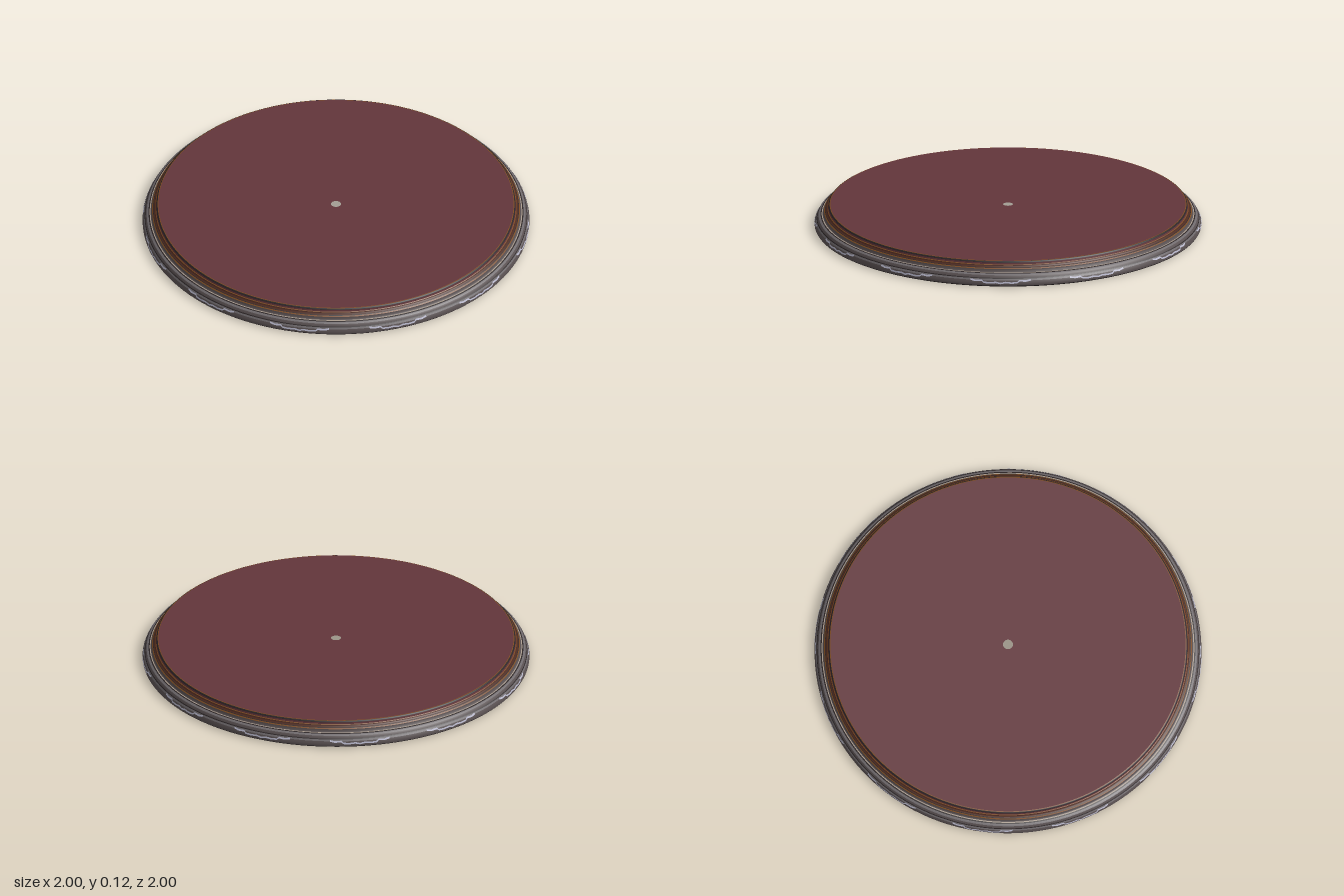
import * as THREE from 'three';

const mat = (name, color) => {
  const m = new THREE.MeshStandardMaterial({ color, side: THREE.DoubleSide });
  m.name = name;
  return m;
};

export function createModel() {
  const model = new THREE.Group();
  model.name = 'roundBase';
  const red = mat('oxblood', 0x62353b);
  const grey = mat('warmGrey', 0x5a5152);
  const lightGrey = mat('lightGrey', 0x6f6a6d);
  const dark = mat('charcoal', 0x2c2526);
  const brown = mat('darkBrown', 0x4e2a20);
  const amber = mat('amber', 0x7c4a20);
  const tan = mat('paleTan', 0xa89a8c);
  const silver = mat('silver', 0xb8b8cc);
  const SEG = 128;

  const add = (name, geometry, material, parent = model) => {
    const mesh = new THREE.Mesh(geometry, material);
    mesh.name = name;
    parent.add(mesh);
    return mesh;
  };
  const lathe = (points) =>
    new THREE.LatheGeometry(points.map(([r, y]) => new THREE.Vector2(r, y)), SEG);

  // Stepped rim: each band is a turned section with its own colour
  const bands = [
    ['footEdge', dark, [[0.985, 0], [0.994, 0.004], [0.997, 0.008]]],
    ['lowerRim', grey, [[0.997, 0.008], [0.998, 0.015], [0.996, 0.025], [0.992, 0.034]]],
    ['lowerHighlight', lightGrey, [[0.992, 0.034], [0.987, 0.042]]],
    ['rimGroove', dark, [[0.987, 0.042], [0.984, 0.046]]],
    ['upperRim', grey, [[0.984, 0.046], [0.981, 0.053], [0.977, 0.058]]],
    ['upperHighlight', lightGrey, [[0.977, 0.058], [0.972, 0.062], [0.967, 0.064]]],
    ['rimShoulder', dark, [[0.967, 0.064], [0.961, 0.066]]],
    ['paleLine', tan, [[0.961, 0.066], [0.956, 0.067]]],
    ['lowerRiser', grey, [[0.956, 0.067], [0.951, 0.07], [0.949, 0.082]]],
    ['lowerTread', amber, [[0.949, 0.082], [0.944, 0.086]]],
    ['lowerGroove', dark, [[0.944, 0.086], [0.941, 0.088]]],
    ['middleStep', brown, [[0.941, 0.088], [0.934, 0.091], [0.932, 0.098]]],
    ['middleTread', amber, [[0.932, 0.098], [0.928, 0.101]]],
    ['upperStep', red, [[0.928, 0.101], [0.926, 0.109]]],
    ['topGroove', dark, [[0.926, 0.109], [0.924, 0.114], [0.92, 0.116]]],
    ['topEdgeLine', amber, [[0.92, 0.116], [0.916, 0.117]]],
  ];
  const rim = new THREE.Group();
  rim.name = 'rim';
  model.add(rim);
  for (const [name, material, points] of bands) add(name, lathe(points), material, rim);

  // Top plate with the centre hole, open underneath
  add('topPlate', lathe([[0.916, 0.117], [0.026, 0.117]]), red);

  // Inner faces of the steps, seen from below: risers and darker treads
  const lining = [
    [0.958, 0.063], [0.945, 0.068], [0.941, 0.083], [0.928, 0.087],
    [0.922, 0.107], [0.908, 0.115],
  ];
  for (let i = 1; i < lining.length; i++) add('innerLining', lathe(lining.slice(i - 1, i + 1)), red);

  // Rim radius at a height, for seating the inlays
  const wall = bands.slice(0, 6).flatMap((b) => b[2]);
  const rimRadius = (y) => {
    const i = wall.findIndex((p) => p[1] >= y);
    const [r0, y0] = wall[i - 1], [r1, y1] = wall[i];
    return r0 + (r1 - r0) * (y - y0) / (y1 - y0);
  };

  // One thin bracket-shaped inlay: [angle in degrees, height of its middle]
  const path = [
    [-9, 0.037], [-7.5, 0.032], [-5.6, 0.034], [-5, 0.025], [-3.2, 0.023],
    [-1.4, 0.026], [0, 0.021], [1.4, 0.026], [3.2, 0.023], [5, 0.025],
    [5.6, 0.034], [7.5, 0.032], [9, 0.037],
  ];
  const inlay = new THREE.BufferGeometry();
  const position = [], index = [];
  path.forEach(([deg, mid], i) => {
    const a = THREE.MathUtils.degToRad(deg);
    for (const y of [mid - 0.004, mid + 0.004]) {
      const r = rimRadius(y) + 0.002;
      position.push(r * Math.sin(a), y, r * Math.cos(a));
    }
    if (i) {
      const k = 2 * i;
      index.push(k - 2, k, k - 1, k, k + 1, k - 1);
    }
  });
  inlay.setAttribute('position', new THREE.Float32BufferAttribute(position, 3));
  inlay.setIndex(index);
  inlay.computeVertexNormals();

  // Twelve inlays around the rim
  for (let i = 0; i < 12; i++) add('rimInlay', inlay, silver).rotation.y = (i * Math.PI) / 6;

  return model;
}
